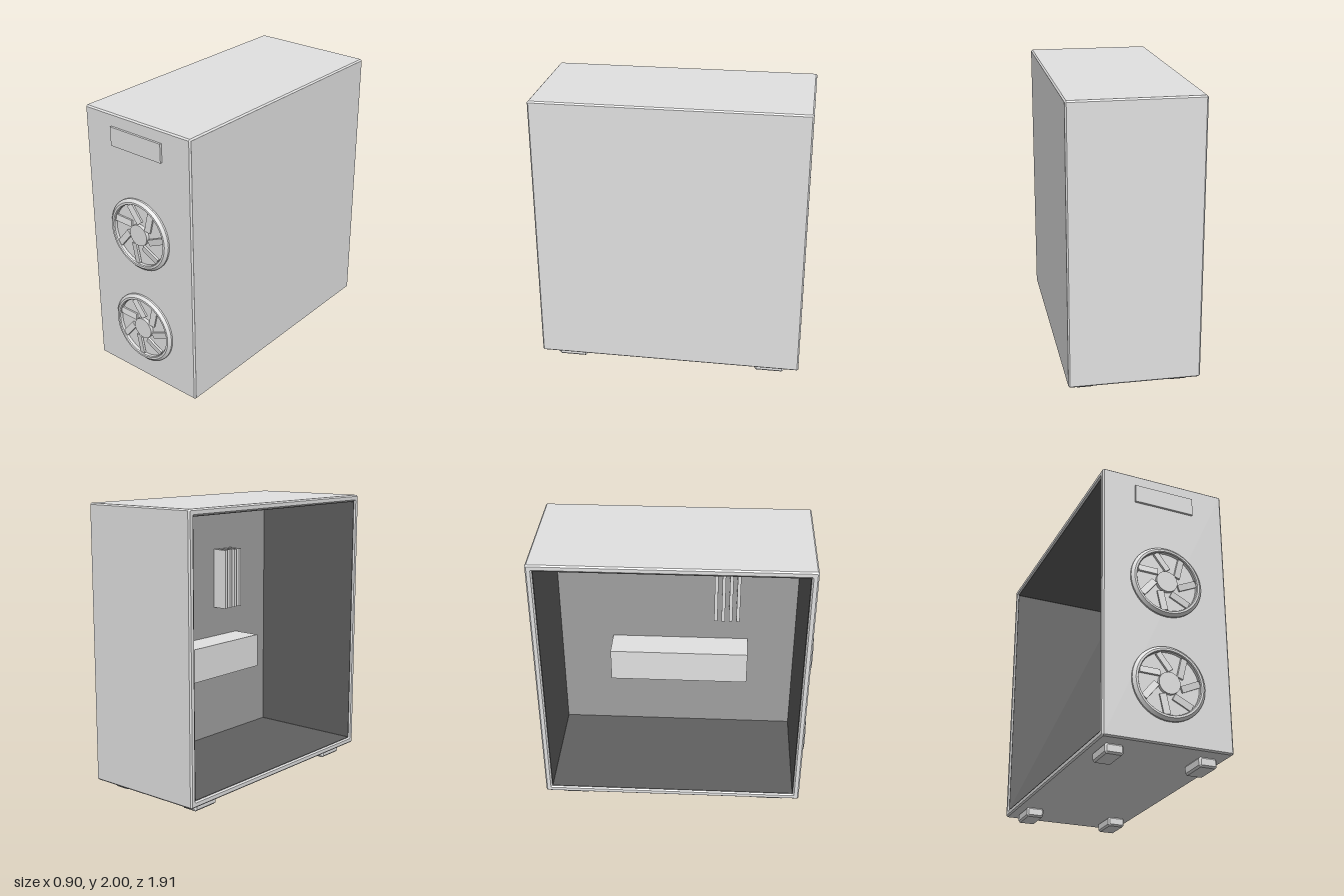
import * as THREE from 'three';
import { toCreasedNormals } from 'three/addons/utils/BufferGeometryUtils.js';

function paint(name, color) {
  const material = new THREE.MeshStandardMaterial({ color });
  material.name = name;
  return material;
}
const lightGrey = paint('light grey', 0xe1e1e1);
const midGrey = paint('mid grey', 0xa0a0a0);
const darkGrey = paint('dark grey', 0x606060);

// Rectangle outline with cut corners
function cutRect(Type, w, h, c) {
  const a = w / 2, b = h / 2;
  return new Type([
    [-a + c, -b], [a - c, -b], [a, -b + c], [a, b - c],
    [a - c, b], [-a + c, b], [-a, b - c], [-a, -b + c],
  ].map(([x, y]) => new THREE.Vector2(x, y)));
}

// Extrudes an outline to an exact depth, centred on z, with a one-step bevel
function bevelled(shape, depth, c) {
  return new THREE.ExtrudeGeometry(shape, {
    depth: depth - 2 * c, bevelEnabled: c > 0, bevelSegments: 1,
    bevelSize: c, bevelThickness: c, bevelOffset: -c,
  }).translate(0, 0, c - depth / 2);
}

// Rectangular sleeve running along x, open at both ends
function sleeve(length, height, depth, wall, c) {
  const outline = cutRect(THREE.Shape, depth, height, c);
  outline.holes.push(cutRect(THREE.Path, depth - 2 * wall, height - 2 * wall, 0.001));
  return bevelled(outline, length, c).rotateY(-Math.PI / 2);
}

function add(parent, name, geometry, x, y, z, material = lightGrey) {
  const mesh = new THREE.Mesh(geometry, material);
  mesh.name = name;
  mesh.position.set(x, y, z);
  parent.add(mesh);
}

// Ring with a flat front lip and a sloped outer edge
function ringGeometry() {
  const profile = [
    [0.217, 0], [0.255, 0], [0.255, 0.012], [0.236, 0.029], [0.222, 0.029], [0.217, 0.022], [0.217, 0],
  ].map(([r, h]) => new THREE.Vector2(r, h));
  return toCreasedNormals(new THREE.LatheGeometry(profile, 48).rotateX(Math.PI / 2), 0.5);
}

function createFan(y) {
  const fan = new THREE.Group();
  fan.name = 'fan';
  fan.position.set(0, y, 0.927);
  add(fan, 'fanRing', ringGeometry(), 0, 0, 0);
  add(fan, 'fanHub', new THREE.CylinderGeometry(0.075, 0.075, 0.024, 32).rotateX(Math.PI / 2), 0, 0, 0.011);
  // Seven blades, swept back from the radial line and barely pitched
  for (let i = 0; i < 7; i++) {
    const angle = (i / 7) * Math.PI * 2;
    const geometry = new THREE.BoxGeometry(0.14, 0.045, 0.014)
      .rotateX(0.14).rotateZ(angle + 0.43);
    add(fan, 'fanBlade', geometry, 0.148 * Math.cos(angle), 0.148 * Math.sin(angle), 0.011);
  }
  return fan;
}

export function createModel() {
  const model = new THREE.Group();
  model.name = 'computerTower';

  const width = 0.898, bottom = 0.065, back = -0.955, front = 0.927;
  const height = 2 - bottom, depth = front - back;
  const midY = bottom + height / 2, midZ = (front + back) / 2;
  const wall = 0.045, lining = 0.004, bevel = 0.01, innerX = 0.417;

  // Roof, floor, front and back as one frame, open on the right side
  add(model, 'caseFrame', sleeve(width, height, depth, wall, bevel), 0, midY, midZ);

  // Closed side wall, covering the frame's other opening
  const panelWidth = width / 2 + 0.0005 - innerX;
  add(model, 'sidePanel', new THREE.BoxGeometry(panelWidth, height - 2 * bevel, depth - 2 * bevel),
    innerX + panelWidth / 2, midY, midZ);

  // Dark lining of the cavity and the mounting tray on the side wall
  const innerHeight = height - 2 * wall, innerDepth = depth - 2 * wall;
  const liningLength = innerX + width / 2 - bevel;
  add(model, 'innerLining', sleeve(liningLength, innerHeight, innerDepth, lining, 0),
    innerX - liningLength / 2, midY, midZ, darkGrey);
  add(model, 'mountingTray', new THREE.BoxGeometry(lining, innerHeight - lining, innerDepth - lining),
    innerX - lining / 2, midY, midZ, midGrey);

  // Front plate and fans
  add(model, 'frontPlate', new THREE.BoxGeometry(0.43, 0.13, 0.02), 0, 1.848, 0.932);
  for (const y of [1.203, 0.473]) model.add(createFan(y));

  // Feet
  for (const x of [-0.322, 0.322]) {
    for (const z of [-0.742, 0.715]) {
      add(model, 'foot', bevelled(cutRect(THREE.Shape, 0.127, 0.068, 0.012), 0.21, 0.012), x, 0.034, z);
    }
  }

  // Graphics card and memory sticks on the tray
  add(model, 'graphicsCard', new THREE.BoxGeometry(0.24, 0.25, 1.03), 0.31, 0.785, 0.005);
  for (let i = 0; i < 4; i++) {
    add(model, 'memoryStick', new THREE.BoxGeometry(0.13, 0.45, 0.025), 0.365, 1.36, 0.275 + i * 0.055);
  }

  return model;
}
